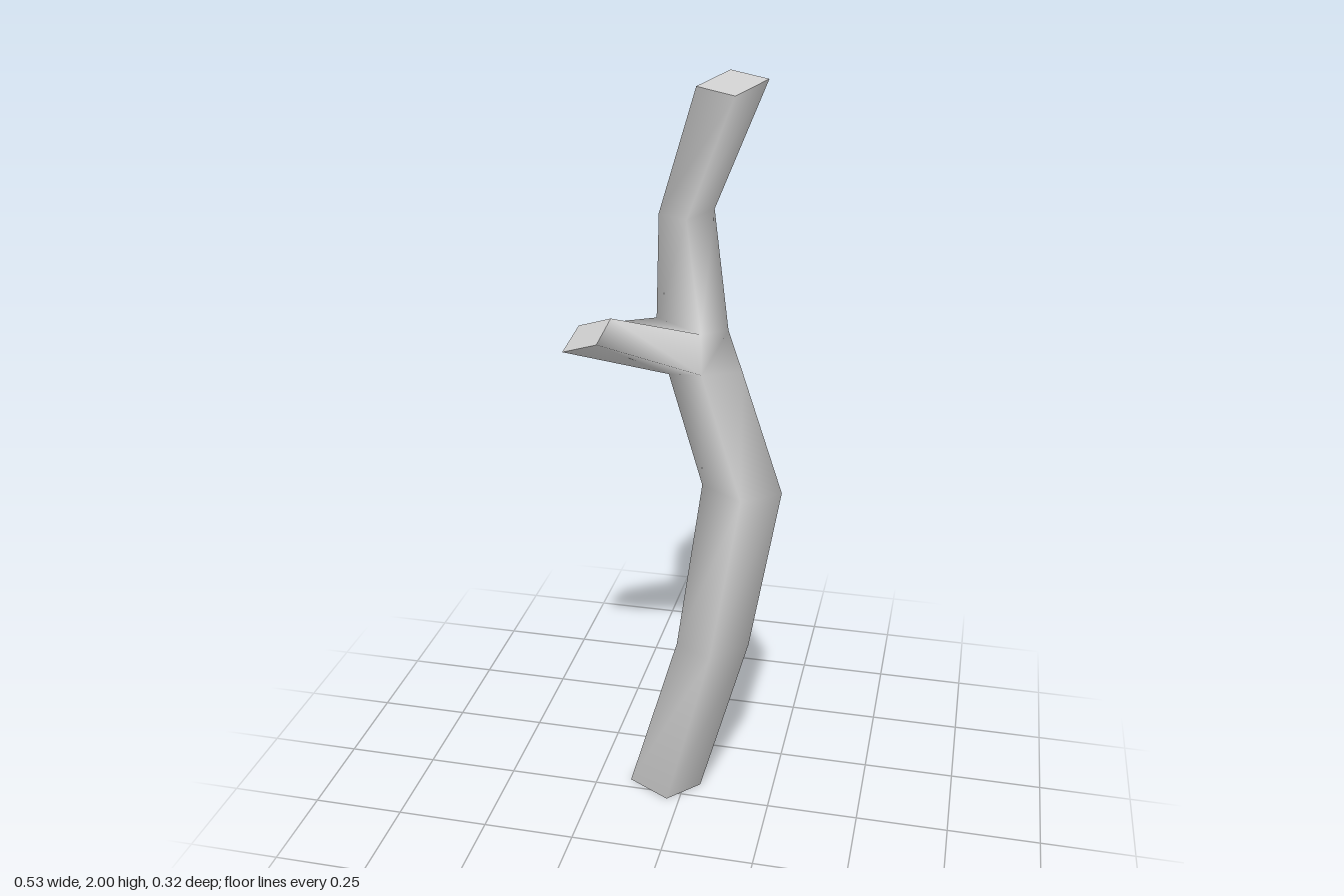
import * as THREE from 'three';

const SIDES = 4;

// Trunk cross-sections from the ground up; corners run left, front, right, back
const trunkRings = [
  [[-0.155, 0, -0.035], [-0.035, 0, 0.03], [0.045, 0, -0.055], [-0.075, 0, -0.118]],
  [[0.0, 0.53, 0.05], [0.1, 0.53, 0.11], [0.19, 0.54, 0.03], [0.09, 0.54, -0.03]],
  [[0.06, 0.99, 0.02], [0.17, 0.98, 0.08], [0.262, 0.98, 0.005], [0.15, 0.99, -0.055]],
  [[-0.04, 1.26, -0.04], [0.058, 1.29, 0.03], [0.147, 1.28, -0.043], [0.02, 1.26, -0.107]],
  [[-0.075, 1.4, -0.06], [0.05, 1.385, 0.0], [0.107, 1.38, -0.06], [-0.015, 1.38, -0.132]],
  [[-0.08, 1.65, -0.11], [0.0, 1.65, -0.06], [0.06, 1.67, -0.107], [-0.015, 1.68, -0.163]],
  [[0.027, 1.97, -0.04], [0.127, 1.96, 0.009], [0.194, 1.99, -0.055], [0.095, 2.0, -0.103]],
];

// Cut end of the side branch: lower left, lower front, upper front, upper left
const branchTip = [[-0.265, 1.36, 0.127], [-0.17, 1.397, 0.16], [-0.153, 1.44, 0.087], [-0.243, 1.405, 0.055]];

function makeMesh(name, points, index) {
  const geometry = new THREE.BufferGeometry();
  geometry.setAttribute('position', new THREE.Float32BufferAttribute(points.flat(), 3));
  geometry.setIndex(index);
  geometry.computeVertexNormals();
  const mesh = new THREE.Mesh(geometry, new THREE.MeshStandardMaterial({ color: 0xcccccc }));
  mesh.name = name;
  return mesh;
}

// Bark: trunk and branch share corners so the shading flows between them
function createBark() {
  const points = [...trunkRings.flat(), ...branchTip];
  const index = [];
  const quad = (a, b, c, d) => index.push(a, b, c, a, c, d);
  const forkRing = 3;

  for (let r = 0; r < trunkRings.length - 1; r++) {
    for (let i = 0; i < SIDES; i++) {
      if (r === forkRing && i === 0) continue; // the branch grows out of this opening
      const a = r * SIDES + i;
      const b = r * SIDES + (i + 1) % SIDES;
      quad(a, b, b + SIDES, a + SIDES);
    }
  }

  const low = forkRing * SIDES;
  const base = [low, low + 1, low + SIDES + 1, low + SIDES];
  const tip = trunkRings.length * SIDES;
  for (let i = 0; i < SIDES; i++) {
    const j = (i + 1) % SIDES;
    quad(base[i], base[j], tip + j, tip + i);
  }
  return makeMesh('bark', points, index);
}

// Flat cut face over a ring of four corners
const createCut = (name, ring) => makeMesh(name, ring, [0, 1, 2, 0, 2, 3]);

export function createModel() {
  const group = new THREE.Group();
  group.name = 'treeBranch';
  group.add(
    createBark(),
    createCut('trunkBottom', [...trunkRings[0]].reverse()),
    createCut('trunkTop', trunkRings[trunkRings.length - 1]),
    createCut('branchEnd', branchTip),
  );
  return group;
}
